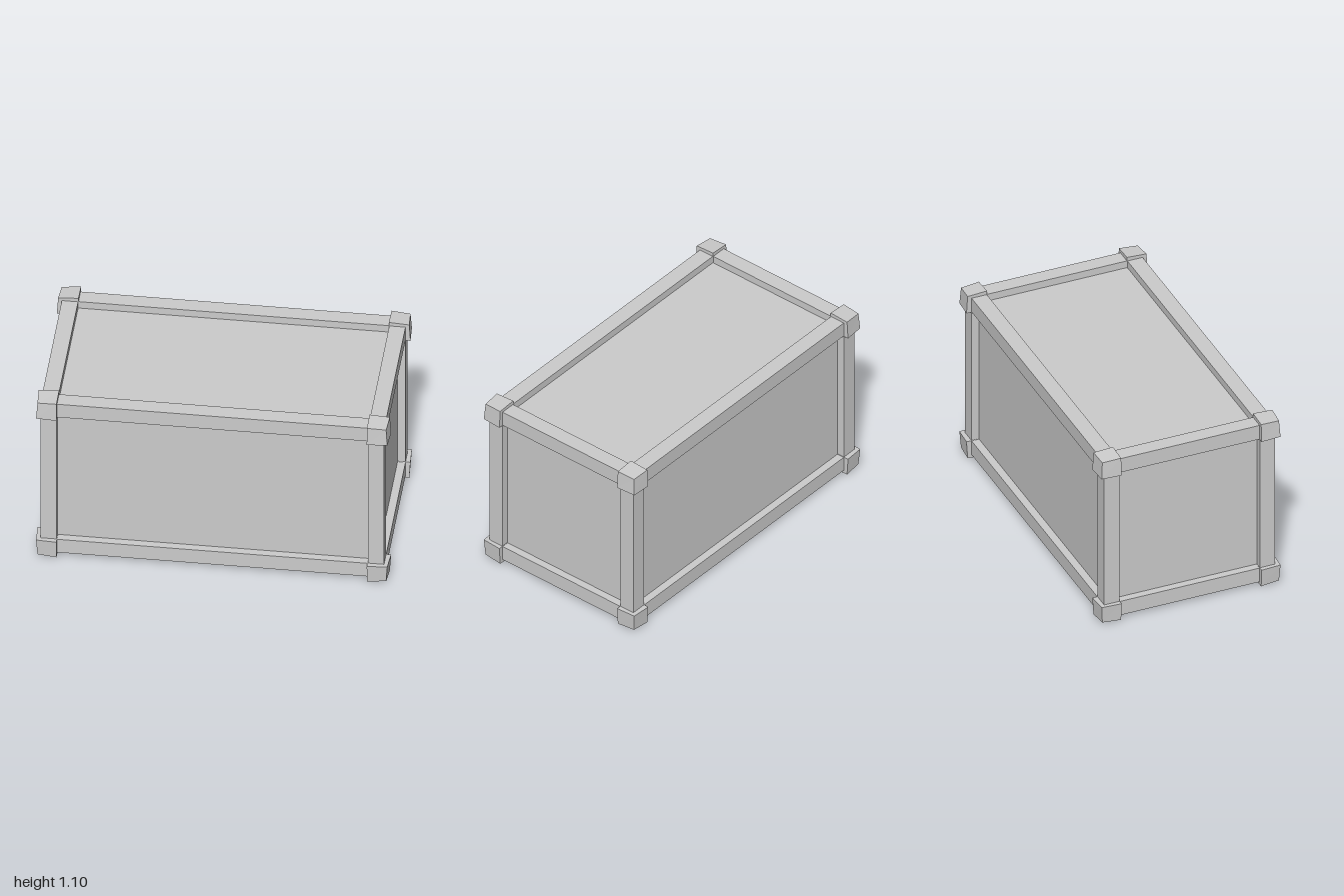
import * as THREE from 'three';

const material = new THREE.MeshStandardMaterial({ color: 0xcccccc, flatShading: true });
const AXES = ['x', 'y', 'z'];
const MID_Y = 0.5475;

// Half sizes, measured from the middle of the crate
const railOuter = new THREE.Vector3(0.972, 0.523, 0.524);
const railInner = new THREE.Vector3(0.88, 0.431, 0.431);
const panelHalf = new THREE.Vector3(0.927, 0.478, 0.478);
const capOuter = new THREE.Vector3(1.0, 0.5475, 0.555);
const capInner = new THREE.Vector3(0.878, 0.429, 0.429);

function addMesh(parent, name, geometry) {
  const mesh = new THREE.Mesh(geometry, material);
  mesh.name = name;
  parent.add(mesh);
  return mesh;
}

// Beam parallel to one axis, on the edge given by the signs of the other two
function addRail(parent, name, axis, signA, signB) {
  const [a, b] = AXES.filter((k) => k !== axis);
  const size = new THREE.Vector3();
  const position = new THREE.Vector3();
  size[axis] = 2 * (railInner[axis] + 0.03);
  [[a, signA], [b, signB]].forEach(([k, sign]) => {
    size[k] = railOuter[k] - railInner[k];
    position[k] = sign * (railOuter[k] + railInner[k]) / 2;
  });
  addMesh(parent, name, new THREE.BoxGeometry(size.x, size.y, size.z)).position.copy(position);
}

// Corner block whose outer faces taper slightly towards the outermost corner
function capGeometry(sx, sy, sz) {
  const signs = [sx, sy, sz];
  const geometry = new THREE.BoxGeometry(2, 2, 2);
  const p = geometry.attributes.position;
  for (let i = 0; i < p.count; i++) {
    const outer = AXES.map((k, j) => p.getComponent(i, j) * signs[j] > 0);
    const count = outer.filter(Boolean).length;
    AXES.forEach((k, j) => {
      const d = outer[j] ? capOuter[k] - 0.007 * (count - 1) : capInner[k];
      p.setComponent(i, j, signs[j] * d);
    });
  }
  geometry.computeVertexNormals();
  return geometry;
}

export function createModel() {
  const model = new THREE.Group();
  model.name = 'crate';
  const crate = new THREE.Group();
  crate.name = 'crateBody';
  crate.position.y = MID_Y;
  model.add(crate);

  // Recessed panels
  addMesh(crate, 'panels', new THREE.BoxGeometry(2 * panelHalf.x, 2 * panelHalf.y, 2 * panelHalf.z));

  // Frame rails and posts, and corner caps
  const names = { x: 'longRail', y: 'cornerPost', z: 'sideRail' };
  for (const s of [-1, 1]) {
    for (const t of [-1, 1]) {
      for (const axis of AXES) addRail(crate, names[axis], axis, s, t);
      for (const u of [-1, 1]) addMesh(crate, 'cornerCap', capGeometry(s, t, u));
    }
  }
  // Rest the lowest cap edges on the ground
  const box = new THREE.Box3().setFromObject(model);
  crate.position.y -= box.min.y;
  return model;
}
